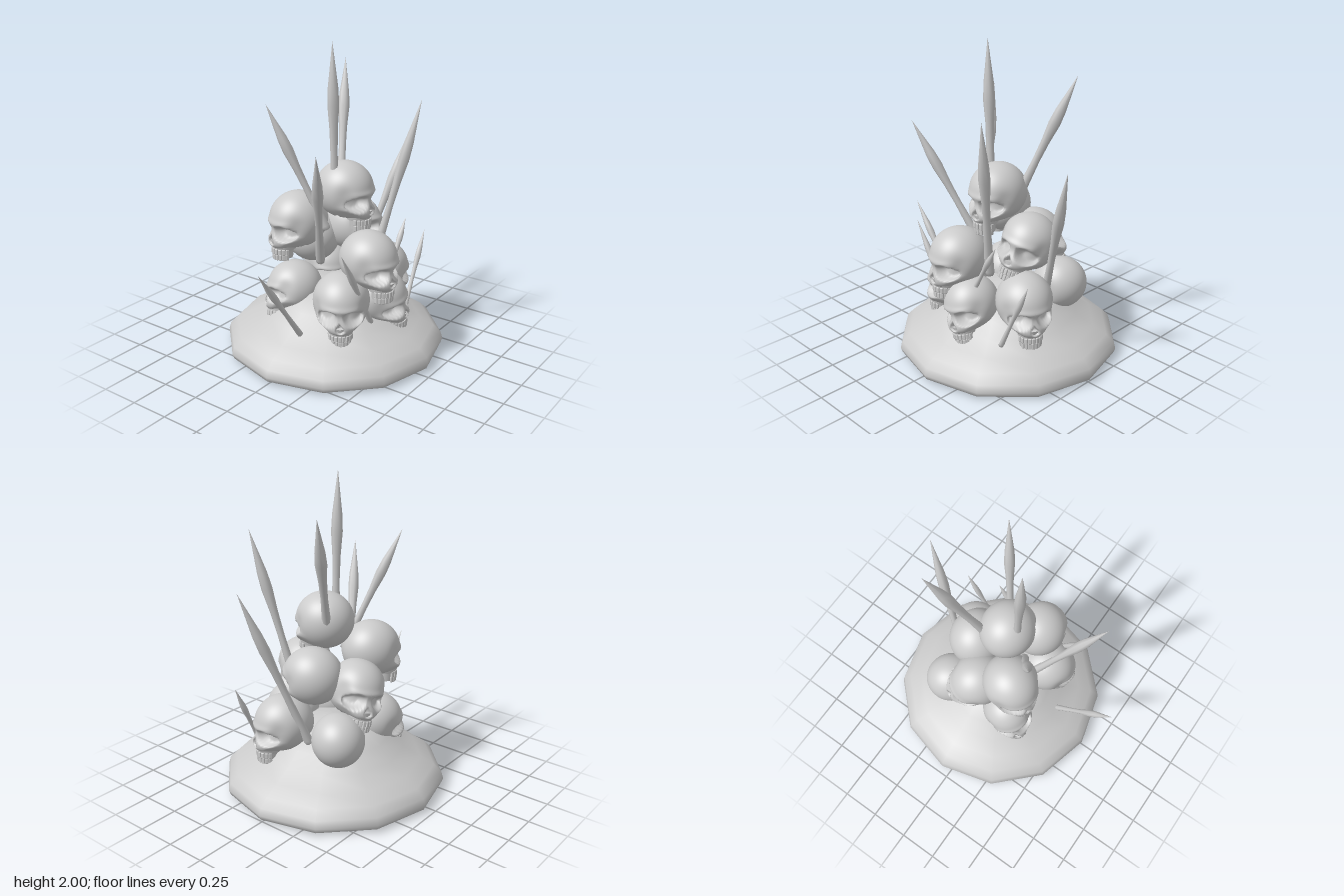
import * as THREE from 'three';
import { mergeVertices } from 'three/addons/utils/BufferGeometryUtils.js';
import { RoundedBoxGeometry } from 'three/addons/geometries/RoundedBoxGeometry.js';

const mat = new THREE.MeshStandardMaterial({ color: 0xcccccc });
const step = THREE.MathUtils.smoothstep;
const bump = (v, centre, width) => Math.exp(-(((v - centre) / width) ** 2));

function add(parent, geo, name, pos = [0, 0, 0]) {
  const m = new THREE.Mesh(geo, mat);
  m.name = name;
  m.position.set(...pos);
  parent.add(m);
  return m;
}

// Cranium and face: a sphere (pole facing forward) shaped by rules
function craniumGeometry() {
  let g = new THREE.SphereGeometry(1, 64, 56).rotateX(Math.PI / 2);
  g.deleteAttribute('uv');
  g.deleteAttribute('normal');
  g = mergeVertices(g, 1e-4);
  const p = g.attributes.position;
  for (let i = 0; i < p.count; i++) {
    const dx = p.getX(i), dy = p.getY(i), dz = p.getZ(i);
    let x = dx * 0.176, y = dy * 0.18, z = dz * 0.188;
    // upright face, narrower towards the jaw
    const face = step(dz, 0.1, 0.6) * (1 - step(dy, -0.7, 0));
    x *= 1 - 0.16 * face;
    y -= 0.012 * face;
    z += 0.07 * step(-dy, 0.15, 0.8) * step(dz, 0.15, 0.55);
    // hollow temples and flared cheekbones
    x *= 1 - 0.1 * bump(dz, 0.55, 0.25) * bump(dy, 0, 0.3);
    x += Math.sign(dx) * 0.016 * bump(y, -0.092, 0.022) * bump(dz, 0.5, 0.25) * step(Math.abs(dx), 0.4, 0.7);
    // flatter underside at the back
    if (dz < 0.1) y = Math.max(y, -0.15 + 0.1 * dz);
    if (dz > 0) {
      // brow ridge, eye sockets and nose opening
      z += 0.008 * bump(y, 0.002, 0.02) * step(dz, 0.4, 0.8);
      const ax = Math.abs(x) - 0.08;
      const eye = (ax / 0.053) ** 2 + ((y + 0.054 + ax * 0.2) / 0.043) ** 2;
      z -= 0.06 * Math.exp(-(eye ** 4));
      const halfNose = 0.008 + 0.018 * step(-y, 0.08, 0.125);
      const nose = (x / halfNose) ** 2 + ((y + 0.108) / 0.026) ** 2;
      z -= 0.04 * Math.exp(-(nose ** 4));
    }
    p.setXYZ(i, x, y, z);
  }
  g.computeVertexNormals();
  return g;
}

const cranium = craniumGeometry();
const jawGeo = new THREE.CylinderGeometry(0.088, 0.074, 0.06, 20);
const gumGeo = new THREE.CylinderGeometry(0.064, 0.058, 0.07, 16);
const toothGeo = new RoundedBoxGeometry(0.022, 0.038, 0.016, 1, 0.005);

function skull(pos, yaw, pitch = 0, roll = 0, size = 1) {
  const s = new THREE.Group();
  s.name = 'skull';
  add(s, cranium, 'cranium');
  add(s, jawGeo, 'upperJaw', [0, -0.142, 0.104]);
  add(s, gumGeo, 'gum', [0, -0.195, 0.108]);
  // two rows of teeth along the arch
  for (const [y, r] of [[-0.183, 0.069], [-0.22, 0.064]]) {
    for (let i = 0; i < 9; i++) {
      const a = (i - 4) * 0.35;
      add(s, toothGeo, 'tooth', [Math.sin(a) * r, y, 0.11 + Math.cos(a) * r]).rotation.y = a;
    }
  }
  s.position.set(...pos);
  s.rotation.set(pitch, yaw, roll, 'YXZ');
  s.scale.setScalar(size);
  return s;
}

// Tapered stake from a blunt foot to a pointed tip
function stake(foot, tip, r) {
  const a = new THREE.Vector3(...foot), d = new THREE.Vector3(...tip).sub(a);
  const len = d.length();
  const profile = [[0, 0], [0.8, 0.001], [0.85, 0.03], [0.62, 0.35], [0.72, 0.5], [1, 0.64], [0.88, 0.74], [0, 1]]
    .map(([x, y]) => new THREE.Vector2(x * r, y * len));
  const m = new THREE.Mesh(new THREE.LatheGeometry(profile, 8), mat);
  m.name = 'stake';
  m.position.copy(a);
  m.quaternion.setFromUnitVectors(new THREE.Vector3(0, 1, 0), d.normalize());
  return m;
}

export function createModel() {
  const model = new THREE.Group();
  model.name = 'skullPile';

  // Twelve-sided mound
  const mound = [[0, 0], [0.65, 0], [0.67, 0.003], [0.7, 0.02], [0.711, 0.05], [0.698, 0.095], [0.648, 0.145],
    [0.56, 0.195], [0.45, 0.262], [0.36, 0.34], [0.25, 0.42], [0, 0.46]].map(([x, y]) => new THREE.Vector2(x, y));
  add(model, new THREE.LatheGeometry(mound, 12), 'mound', [0.06, 0, 0]);

  // Skulls: position, yaw, pitch, roll, size
  const skulls = [
    [[0.05, 1.08, 0.08], 0.03],
    [[-0.04, 0.7, 0.325], -0.15],
    [[0.25, 0.785, 0.01], 0.25, -0.25, -0.2],
    [[0.075, 0.425, 0.335], 0.08, 0, 0.2, 0.94],
    [[-0.18, 0.45, 0.22], -1],
    [[0.36, 0.47, 0.16], 1.1],
    [[0.3, 0.44, -0.225], -0.8, 0, 0, 0.93],
    [[-0.13, 0.89, -0.145], -1.95],
    [[0.09, 0.71, -0.2], 2.7, -0.1, -0.25],
    [[-0.13, 0.42, -0.18], -2.3, -0.1, 0.22, 0.94],
  ];
  for (const s of skulls) model.add(skull(...s));

  // Stakes: foot, tip, widest radius
  const stakes = [
    [[-0.025, 0.95, 0.06], [-0.055, 2, 0.06], 0.036],
    [[0.12, 1.0, 0], [0.435, 1.815, -0.185], 0.036],
    [[0.14, 0.6, 0.24], [0.31, 1.645, 0.46], 0.035],
    [[-0.1, 0.85, 0.05], [-0.31, 1.635, -0.24], 0.033],
    [[-0.15, 0.65, 0.04], [-0.515, 1.45, 0.28], 0.034],
    [[0.34, 0.37, -0.03], [0.7, 1.385, 0.185], 0.034],
    [[-0.38, 0.24, 0.058], [-0.77, 0.78, 0.06], 0.023],
    [[-0.06, 0.28, 0.365], [-0.39, 0.84, 0.365], 0.021],
    [[0.36, 0.24, 0.36], [0.58, 0.71, 0.36], 0.02],
    [[0.13, 0.53, 0.365], [0.32, 0.87, 0.365], 0.02],
  ];
  for (const s of stakes) model.add(stake(...s));

  return model;
}
